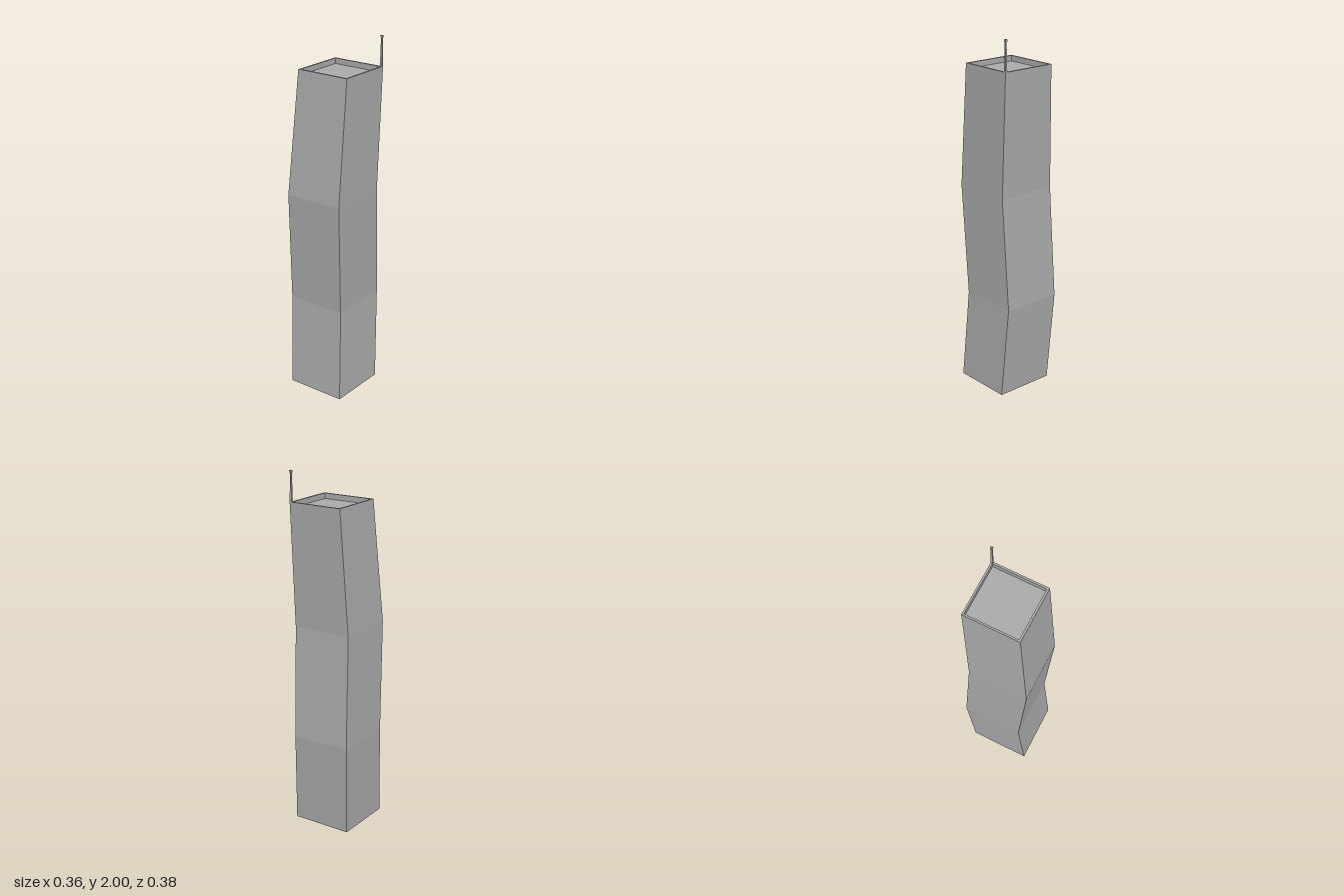
import * as THREE from 'three';

// Closed solid through rectangular sections [y, x0, x1, z0, z1], capped at both ends
function loft(sections) {
  const rings = sections.map(([y, x0, x1, z0, z1]) => [
    [x0, y, z1], [x1, y, z1], [x1, y, z0], [x0, y, z0],
  ]);
  const points = [];
  const quad = (a, b, c, d) => points.push(...a, ...b, ...c, ...a, ...c, ...d);
  for (let r = 0; r < rings.length - 1; r++) {
    const low = rings[r], high = rings[r + 1];
    for (let i = 0; i < 4; i++) {
      const j = (i + 1) % 4;
      quad(low[i], low[j], high[j], high[i]);
    }
  }
  quad(...[...rings[0]].reverse());
  quad(...rings[rings.length - 1]);
  const geometry = new THREE.BufferGeometry();
  geometry.setAttribute('position', new THREE.Float32BufferAttribute(points, 3));
  geometry.computeVertexNormals();
  return geometry;
}

export function createModel() {
  const model = new THREE.Group();
  model.name = 'tower';
  const concrete = new THREE.MeshStandardMaterial({ color: 0xaaaaaa });
  concrete.name = 'concrete grey';

  const add = (name, sections) => {
    const mesh = new THREE.Mesh(loft(sections), concrete);
    mesh.name = name;
    model.add(mesh);
  };

  // Kinked shaft, then the parapet rim and the sunken roof
  add('towerBody', [
    [0, -0.163, 0.18, -0.155, 0.187],
    [0.52, -0.182, 0.159, -0.19, 0.152],
    [1.15, -0.169, 0.172, -0.155, 0.187],
    [1.835, -0.137, 0.177, -0.187, 0.128],
    [1.835, -0.127, 0.166, -0.176, 0.116],
    [1.805, -0.127, 0.166, -0.176, 0.116],
  ]);

  // Thin tapered mast on the back left corner, with a small block on top
  const square = (y, h) => [y, 0.171 - h, 0.171 + h, -0.181 - h, -0.181 + h];
  add('antennaMast', [square(1.83, 0.006), square(1.988, 0.0035)]);
  add('antennaTip', [square(1.988, 0.006), square(2, 0.006)]);

  return model;
}
